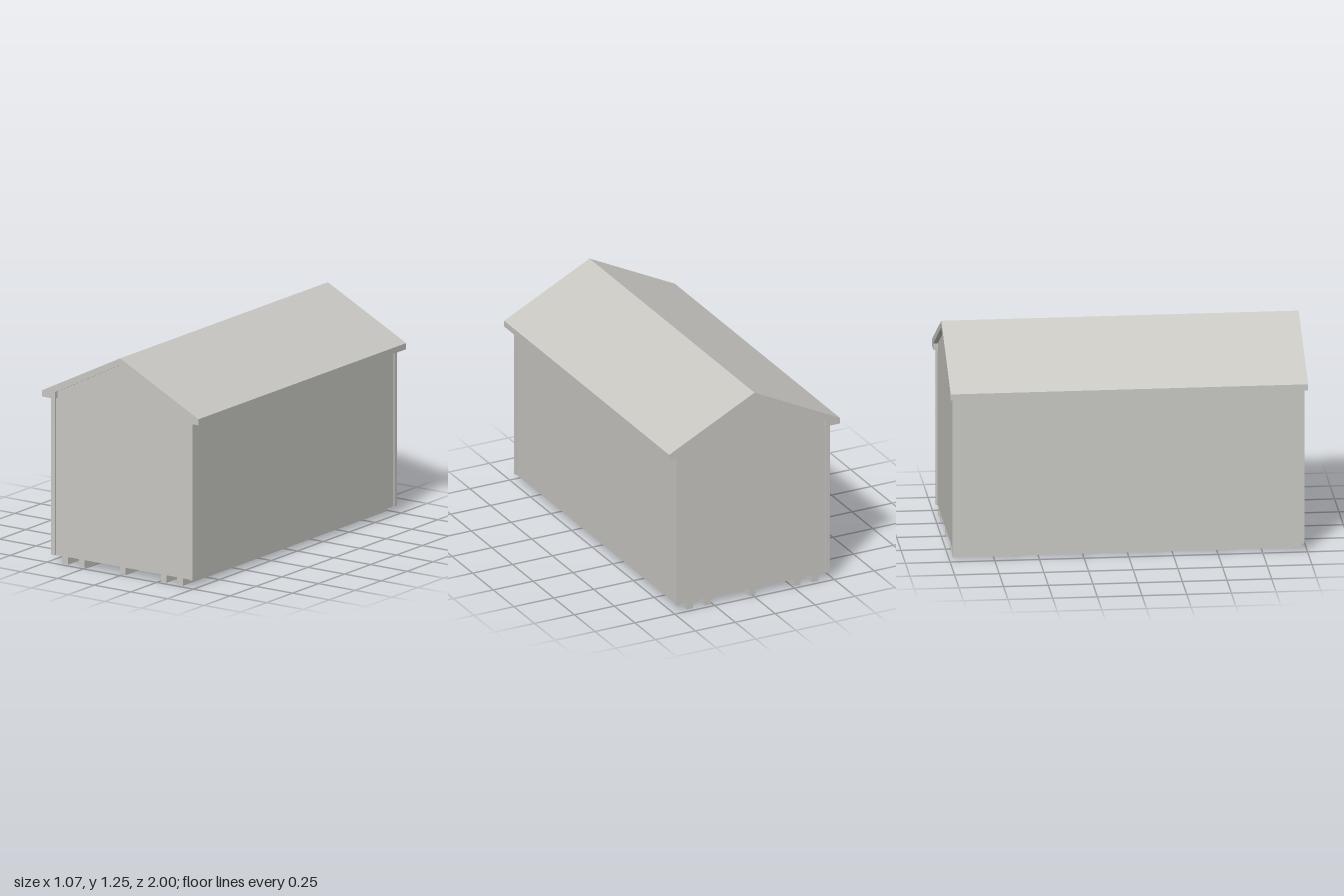
import * as THREE from 'three';

const BASE = 0.043, EAVE = 0.95;      // wall bottom and eave underside
const WX = 0.475, WZ = 0.975;         // wall planes

const siding = new THREE.MeshStandardMaterial({ color: 0xc8c7c2, side: THREE.DoubleSide });
siding.name = 'pale grey siding';

function shapeOf(points) {
  return new THREE.Shape(points.map(([x, y]) => new THREE.Vector2(x, y)));
}

export function createModel() {
  const group = new THREE.Group();
  group.name = 'shed';
  const add = (name, geometry, x = 0, y = 0, z = 0) => {
    const mesh = new THREE.Mesh(geometry, siding);
    mesh.name = name;
    mesh.position.set(x, y, z);
    group.add(mesh);
    return mesh;
  };

  // Gabled roof shell with boxed eaves
  const roof = new THREE.ExtrudeGeometry(shapeOf([
    [-0.535, 0.95], [-0.445, 0.95], [-0.445, 0.988], [0, 1.215], [0.445, 0.988],
    [0.445, 0.95], [0.535, 0.95], [0.535, 0.985], [0, 1.253], [-0.535, 0.985],
  ]), { depth: 2, bevelEnabled: false });
  add('roof', roof, 0, 0, -1);

  // Thin gable end walls
  const gable = new THREE.ShapeGeometry(shapeOf([
    [-WX, BASE], [WX, BASE], [WX, 0.973], [0, 1.215], [-WX, 0.973],
  ]));
  add('frontWall', gable, 0, 0, WZ);
  add('backWall', gable, 0, 0, -WZ).rotation.y = Math.PI;

  // Thin side walls, open underneath
  const side = new THREE.PlaneGeometry(2 * WZ, EAVE - BASE);
  for (const s of [1, -1]) {
    add(s > 0 ? 'leftWall' : 'rightWall', side, s * WX, (EAVE + BASE) / 2, 0)
      .rotation.y = s * Math.PI / 2;
  }

  // L-shaped corner trim, one board on each face
  for (const sx of [1, -1]) {
    for (const sz of [1, -1]) {
      const h = EAVE - BASE, y = (EAVE + BASE) / 2;
      add('cornerTrimEnd', new THREE.BoxGeometry(0.027, h, 0.01), sx * 0.4685, y, sz * 0.98);
      add('cornerTrimSide', new THREE.BoxGeometry(0.007, h, 0.015), sx * 0.4785, y, sz * 0.9675);
    }
  }

  // Floor skids
  for (const x of [-0.393, -0.28, 0, 0.28, 0.392]) {
    add('skid', new THREE.BoxGeometry(0.04, BASE, 2 * WZ), x, BASE / 2, 0);
  }
  return group;
}
